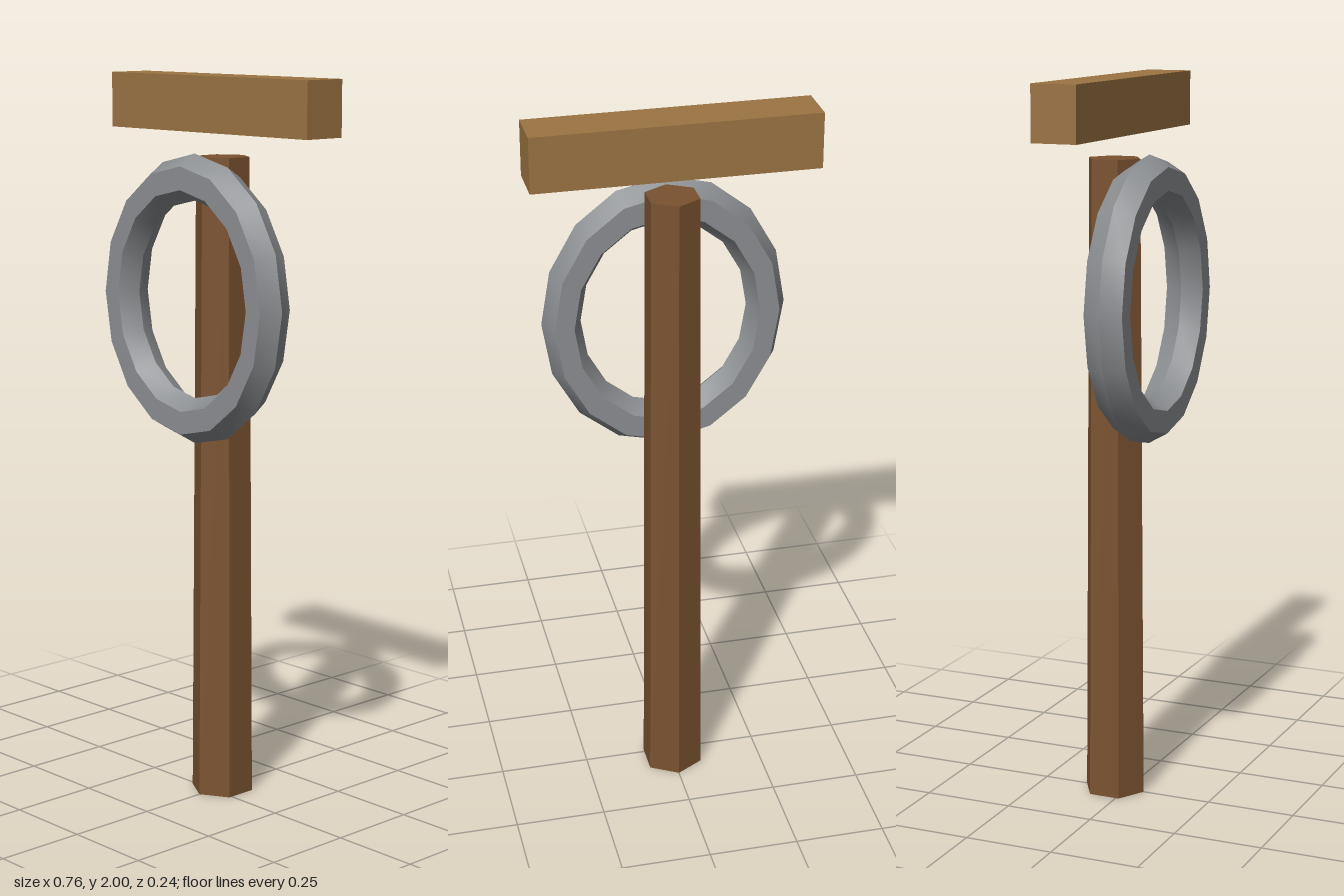
import * as THREE from 'three';
import { toCreasedNormals } from 'three/addons/utils/BufferGeometryUtils.js';

const AXIS_Z = -0.035; // depth of the post and beam centre line

function addPart(group, name, geometry, color, y, z, flatShading = true) {
  const mesh = new THREE.Mesh(geometry, new THREE.MeshStandardMaterial({ color, flatShading }));
  mesh.name = name;
  mesh.position.set(0, y, z);
  group.add(mesh);
}

export function createModel() {
  const group = new THREE.Group();
  group.name = 'postWithRing';

  // Slightly tapered hexagonal post, one edge facing forward
  addPart(group, 'post', new THREE.CylinderGeometry(0.075, 0.088, 1.785, 6), 0x7a5230, 0.8925, AXIS_Z);

  // Crossbeam floating just above the post
  addPart(group, 'crossbeam', new THREE.BoxGeometry(0.76, 0.15, 0.127), 0x9b7443, 1.925, AXIS_Z);

  // Oval ring with a hexagonal section, smooth around its length
  const ring = new THREE.TorusGeometry(0.33, 0.0625, 6, 16).scale(0.85, 1, 1);
  addPart(group, 'ring', toCreasedNormals(ring, 0.55), 0x8c8f92, 1.405, 0.067, false);

  return group;
}
